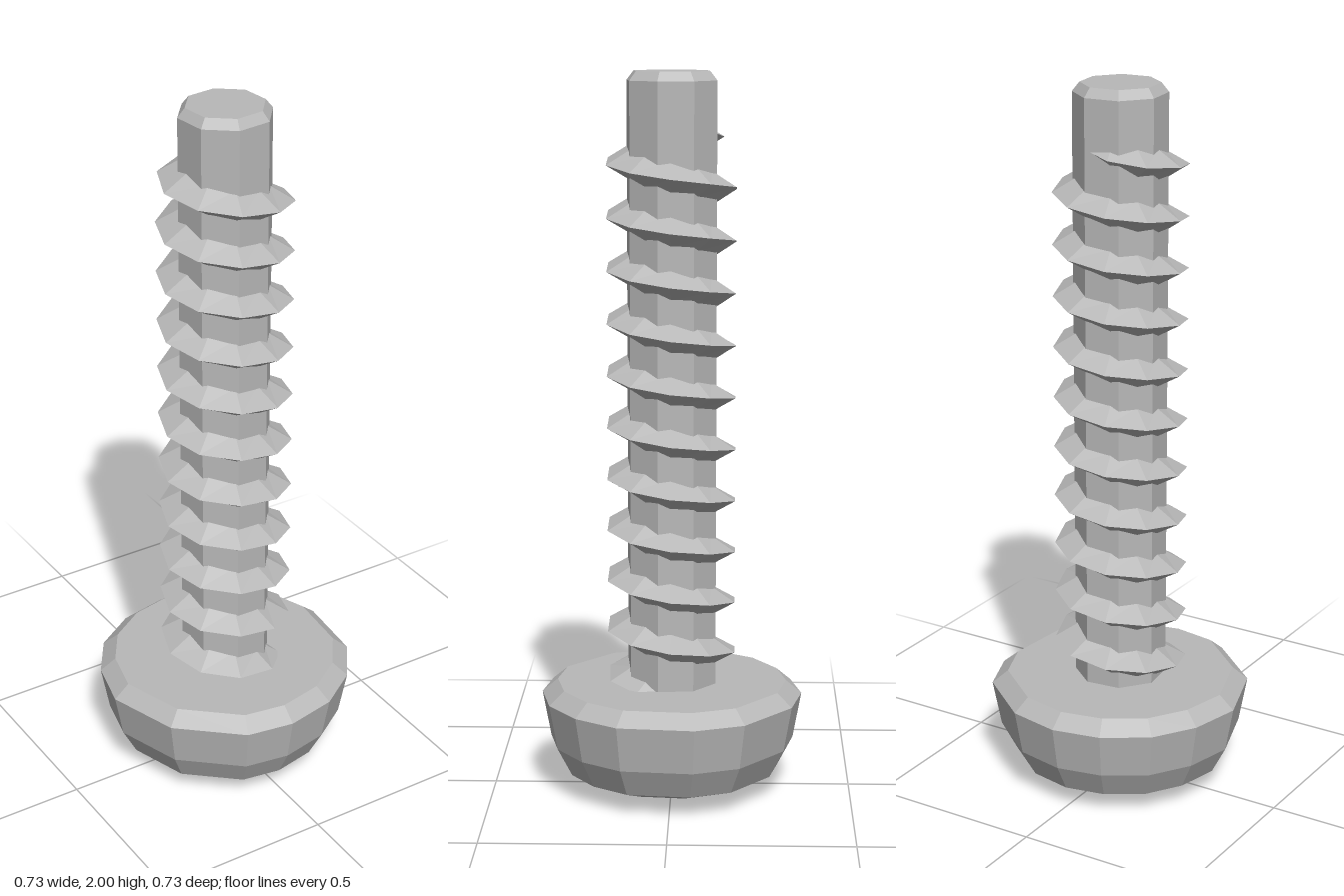
import * as THREE from 'three';

// Skin a series of equal-length point loops, optionally closing both ends
function loft(rings, capStart = false, capEnd = false) {
  const pos = [];
  const tri = (...pts) => pts.forEach((p) => pos.push(...p));
  const n = rings[0].length;
  for (let r = 0; r < rings.length - 1; r++) {
    const a = rings[r], b = rings[r + 1];
    for (let i = 0; i < n; i++) {
      const j = (i + 1) % n;
      tri(a[i], b[i], b[j]);
      tri(a[i], b[j], a[j]);
    }
  }
  const cap = (ring, flip) => {
    const c = [0, 1, 2].map((k) => ring.reduce((s, p) => s + p[k], 0) / n);
    for (let i = 0; i < n; i++) {
      const j = (i + 1) % n;
      if (flip) tri(c, ring[j], ring[i]);
      else tri(c, ring[i], ring[j]);
    }
  };
  if (capStart) cap(rings[0], false);
  if (capEnd) cap(rings[rings.length - 1], true);
  const g = new THREE.BufferGeometry();
  g.setAttribute('position', new THREE.Float32BufferAttribute(pos, 3));
  g.computeVertexNormals();
  return g;
}

// Cross outline in x/z with arm length l and half width w
function cross(l, w) {
  const pts = [];
  for (let k = 0; k < 4; k++) {
    for (let [x, z] of [[l, -w], [l, w], [w, w]]) {
      for (let q = 0; q < k; q++) [x, z] = [-z, x];
      pts.push([x, z]);
    }
  }
  return pts;
}

export function createModel() {
  const screw = new THREE.Group();
  screw.name = 'screw';
  const steel = new THREE.MeshStandardMaterial({ color: 0xb8b8b8, flatShading: true });
  steel.name = 'steel';
  const add = (name, geometry, parent = screw) => {
    const mesh = new THREE.Mesh(geometry, steel);
    mesh.name = name;
    parent.add(mesh);
  };

  // Head: slightly uneven rim, scaled through a rounded profile
  const head = new THREE.Group();
  head.name = 'head';
  screw.add(head);
  const rim = [
    [0, -0.365], [0.145, -0.335], [0.31, -0.205], [0.362, -0.07], [0.342, 0.14],
    [0.262, 0.255], [0.145, 0.335], [0, 0.365], [-0.135, 0.343], [-0.3, 0.2],
    [-0.365, 0], [-0.33, -0.145], [-0.255, -0.26], [-0.135, -0.337],
  ];
  const dome = (x, z) => Math.max(0, (Math.hypot(x, z) - 0.07) * 0.18);
  const scaled = (s) => rim.map(([x, z]) => [x * s, z * s]);
  const crown = scaled(0.57);
  const headRings = [crown.map(([x, z]) => [x, dome(x, z), z])];
  for (const [s, y] of [[0.82, 0.06], [0.935, 0.14], [1, 0.268], [0.88, 0.305]]) {
    headRings.push(scaled(s).map(([x, z]) => [x, y, z]));
  }
  add('headBody', loft(headRings, false, true), head);

  // Domed underside with the cross-shaped opening
  const opening = cross(0.18, 0.05);
  const toVectors = (pts) => pts.map(([x, z]) => new THREE.Vector2(x, z));
  const face = new THREE.Shape(toVectors(crown));
  face.holes.push(new THREE.Path(toVectors(opening)));
  const faceGeometry = new THREE.ShapeGeometry(face).rotateX(Math.PI / 2);
  const p = faceGeometry.attributes.position;
  for (let i = 0; i < p.count; i++) p.setY(i, dome(p.getX(i), p.getZ(i)));
  faceGeometry.computeVertexNormals();
  add('headFace', faceGeometry, head);

  // Tapered driver recess
  add('driveRecess', loft([
    cross(0.075, 0.03).map(([x, z]) => [x, 0.14, z]),
    opening.map(([x, z]) => [x, dome(x, z), z]),
  ], true), head);

  // Shank with a small chamfer at the tip
  const shankRing = (r, y) => Array.from({ length: 8 }, (_, i) => {
    const a = ((i + 0.35) / 8) * Math.PI * 2;
    return [0.005 + r * Math.cos(a), y, r * Math.sin(a)];
  });
  add('shank', loft([[0.128, 0.3], [0.128, 1.975], [0.108, 2]]
    .map(([r, y]) => shankRing(r, y)), false, true));

  // Helical thread: a triangular tooth swept up the shank, fading at both ends
  const pitch = 0.1435, first = -1, last = 9.8, sides = 10;
  const threadRings = [];
  for (let k = 0; k <= (last - first) * sides + 0.01; k++) {
    const t = first + k / sides;
    const a = t * Math.PI * 2;
    const y = 0.43 + pitch * t;
    const fade = Math.min(1, (t - first) / 0.4 + 0.4, (last - t) / 0.25 + 0.1);
    const root = 0.114, crest = root + 0.071 * fade;
    const at = (r, dy) => [0.004 + r * Math.cos(a), y + dy, r * Math.sin(a)];
    threadRings.push([at(root, 0.042 * fade), at(crest, 0), at(root, -0.042 * fade)]);
  }
  add('thread', loft(threadRings, true, true));

  return screw;
}
